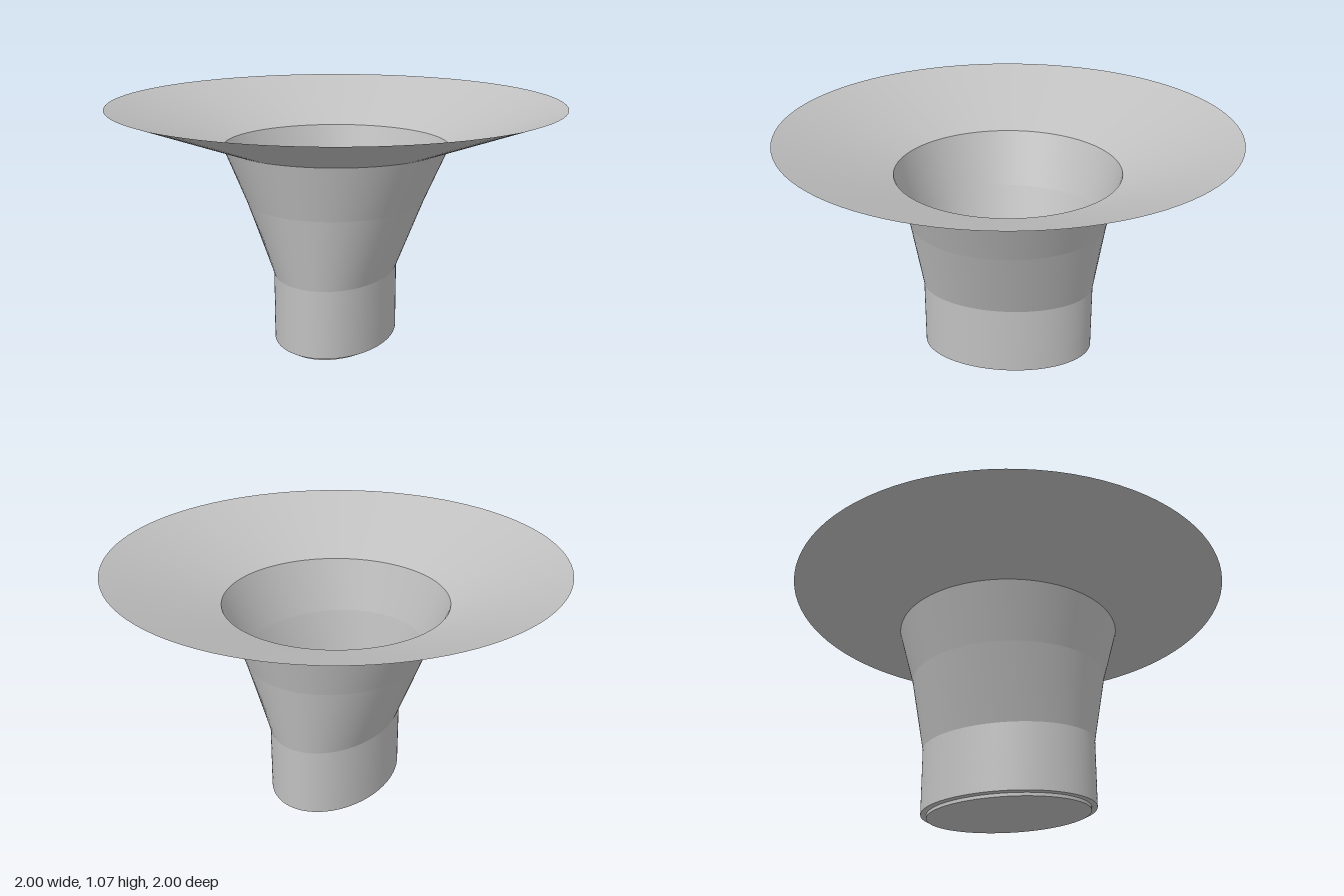
import * as THREE from 'three';

const SEGMENTS = 96;

// Skin a list of [y, halfWidthX, halfWidthZ] ellipses, bottom to top
function loft(sections) {
  const positions = [], index = [];
  for (const [y, a, b] of sections) {
    for (let i = 0; i < SEGMENTS; i++) {
      const t = (i / SEGMENTS) * Math.PI * 2;
      positions.push(a * Math.sin(t), y, b * Math.cos(t));
    }
  }
  for (let s = 0; s < sections.length - 1; s++) {
    for (let i = 0; i < SEGMENTS; i++) {
      const j = (i + 1) % SEGMENTS;
      const p = s * SEGMENTS + i, q = s * SEGMENTS + j;
      index.push(p, q, q + SEGMENTS, p, q + SEGMENTS, p + SEGMENTS);
    }
  }
  const geometry = new THREE.BufferGeometry();
  geometry.setAttribute('position', new THREE.Float32BufferAttribute(positions, 3));
  geometry.setIndex(index);
  geometry.computeVertexNormals();
  return geometry;
}

export function createModel() {
  const group = new THREE.Group();
  group.name = 'horn';
  const grey = new THREE.MeshStandardMaterial({ color: 0xc0c0c0, side: THREE.DoubleSide });
  grey.name = 'grey';

  const add = (name, sections) => {
    const mesh = new THREE.Mesh(loft(sections), grey);
    mesh.name = name;
    group.add(mesh);
  };

  // Thin open shell: each band is separate so the seams stay crisp
  add('throatWall', [[0.015, 0.27, 0.39], [0.32, 0.27, 0.39]]);
  add('lowerHorn', [[0.32, 0.27, 0.39], [0.64, 0.395, 0.44]]);
  add('upperHorn', [[0.64, 0.395, 0.44], [0.88, 0.5, 0.5]]);
  add('flare', [[0.88, 0.5, 0.5], [1.065, 1, 1]]);

  // Floor ring between the shell and the plug
  add('floorRing', [[0.015, 0.27, 0.39], [0.015, 0.24, 0.365]]);

  // Plug rising from the floor to a narrow ridge
  add('plugBase', [[0, 0, 0], [0, 0.24, 0.365]]);
  add('plugSide', [[0, 0.24, 0.365], [0.02, 0.24, 0.365]]);
  const mound = [];
  for (let k = 0; k <= 12; k++) {
    const t = k / 12;
    const rise = 0.55 * t + 0.45 * Math.sin((t * Math.PI) / 2);
    mound.push([0.02 + 0.23 * rise, 0.24 - 0.228 * t, 0.365 - 0.225 * t]);
  }
  add('plugMound', mound);
  add('plugRidge', [[0.25, 0.012, 0.14], [0.25, 0, 0]]);

  return group;
}
